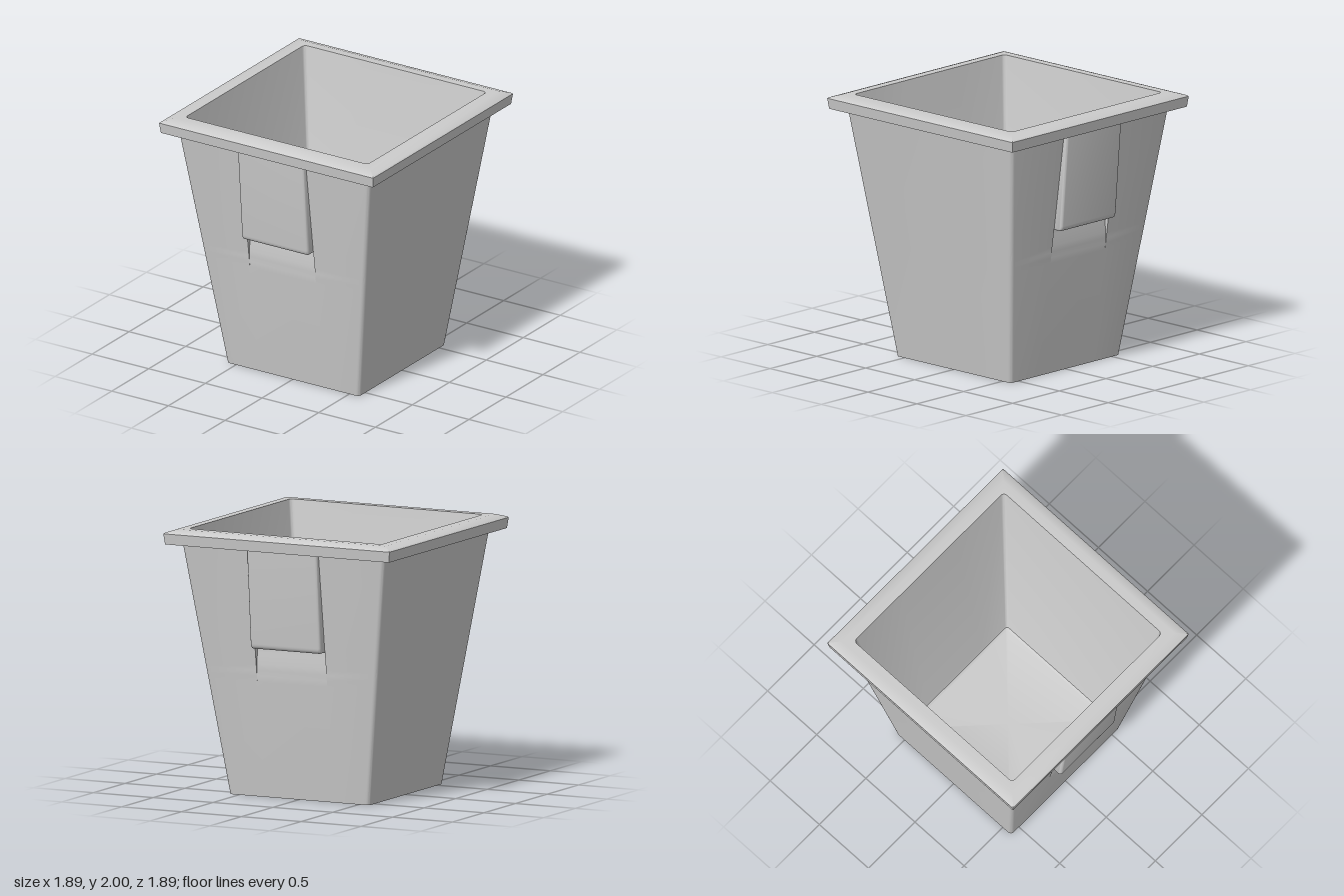
import * as THREE from 'three';
import { toCreasedNormals } from 'three/addons/utils/BufferGeometryUtils.js';

const CX = -0.007; // grips sit very slightly off centre
const HALF_W = 0.292;

// Rounded rectangle at height y; d is the depth of the finger recess in front and back walls
function ring(hx, hz, r, y, d = 0) {
  const pts = [];
  const signs = [[1, 1], [-1, 1], [-1, -1], [1, -1]];
  const clampX = (x) => THREE.MathUtils.clamp(x, -hx + r, hx - r);
  signs.forEach(([sx, sz], k) => {
    for (let i = 0; i <= 5; i++) {
      const a = (k + i / 5) * Math.PI / 2;
      pts.push(new THREE.Vector3(sx * (hx - r) + r * Math.cos(a), y, sz * (hz - r) + r * Math.sin(a)));
    }
    if (k % 2 === 0) {
      const from = clampX(CX + sx * HALF_W), to = clampX(CX - sx * HALF_W);
      for (const [x, depth] of [[from, 0], [from, d], [to, d], [to, 0]]) {
        pts.push(new THREE.Vector3(x, y, sz * (hz - depth)));
      }
    }
  });
  return pts;
}

// Skin between successive rings, leaving out collapsed triangles
function loft(rings) {
  const pos = [];
  const tri = (a, b, c) => {
    const n = b.clone().sub(a).cross(c.clone().sub(a));
    if (n.length() > 1e-8) for (const p of [a, b, c]) pos.push(p.x, p.y, p.z);
  };
  for (let j = 0; j < rings.length - 1; j++) {
    const lo = rings[j], hi = rings[j + 1];
    for (let i = 0; i < lo.length; i++) {
      const n = (i + 1) % lo.length;
      tri(lo[i], hi[i], lo[n]);
      tri(lo[n], hi[i], hi[n]);
    }
  }
  const g = new THREE.BufferGeometry();
  g.setAttribute('position', new THREE.Float32BufferAttribute(pos, 3));
  return toCreasedNormals(g, 0.6);
}

export function createModel() {
  const group = new THREE.Group();
  const material = new THREE.MeshStandardMaterial({ color: 0xcccccc });
  const add = (name, geometry) => {
    const mesh = new THREE.Mesh(geometry, material);
    mesh.name = name;
    group.add(mesh);
    return mesh;
  };

  // Tapered outer body with a sloping finger recess below each grip
  const half = (y) => 0.585 + 0.26 * y / 1.89;
  const wall = (y, d) => ring(half(y), half(y), 0.03, y, d);
  const body = [ring(0, 0, 0, 0), wall(0)];
  for (let i = 0; i <= 6; i++) body.push(wall(0.88 + 0.26 * i / 6, 0.04 * (i / 6) ** 1.5));
  body.push(wall(1.18, 0.04), wall(1.19, 0), wall(1.89));
  add('body', loft(body));

  // Square overhanging rim with a sloped top edge
  add('rim', loft([
    ring(0.84, 0.84, 0.03, 1.89),
    ring(0.935, 0.935, 0, 1.89),
    ring(0.945, 0.945, 0, 1.97),
    ring(0.935, 0.935, 0, 1.978),
    ring(0.87, 0.87, 0, 2),
    ring(0.805, 0.805, 0.03, 2),
  ]));

  // Inner walls, rounded into the floor
  add('innerWallsAndFloor', loft([
    ring(0.805, 0.805, 0.03, 2),
    ring(0.557, 0.537, 0.02, 0.15),
    ring(0.551, 0.531, 0.02, 0.131),
    ring(0.535, 0.515, 0.015, 0.12),
    ring(0, 0, 0, 0.12),
  ]));

  // Grips: side profile extruded across the wall, with rounded edges
  const profile = new THREE.Shape();
  profile.moveTo(0.693, 1.14);
  profile.lineTo(0.788, 1.14);
  profile.quadraticCurveTo(0.818, 1.14, 0.822, 1.18);
  profile.lineTo(0.88, 1.9);
  profile.lineTo(0.8, 1.9);
  const bevel = 0.018;
  const grip = new THREE.ExtrudeGeometry(profile, {
    depth: 2 * (HALF_W - bevel), curveSegments: 6,
    bevelThickness: bevel, bevelSize: bevel, bevelOffset: -bevel, bevelSegments: 4,
  });
  grip.translate(0, 0, -(HALF_W - bevel));
  grip.rotateY(-Math.PI / 2);
  const gripGeometry = toCreasedNormals(grip, 0.6);
  for (const [name, turn] of [['frontGrip', 0], ['backGrip', Math.PI]]) {
    const mesh = add(name, gripGeometry);
    mesh.rotation.y = turn;
    mesh.position.x = CX;
  }

  return group;
}
